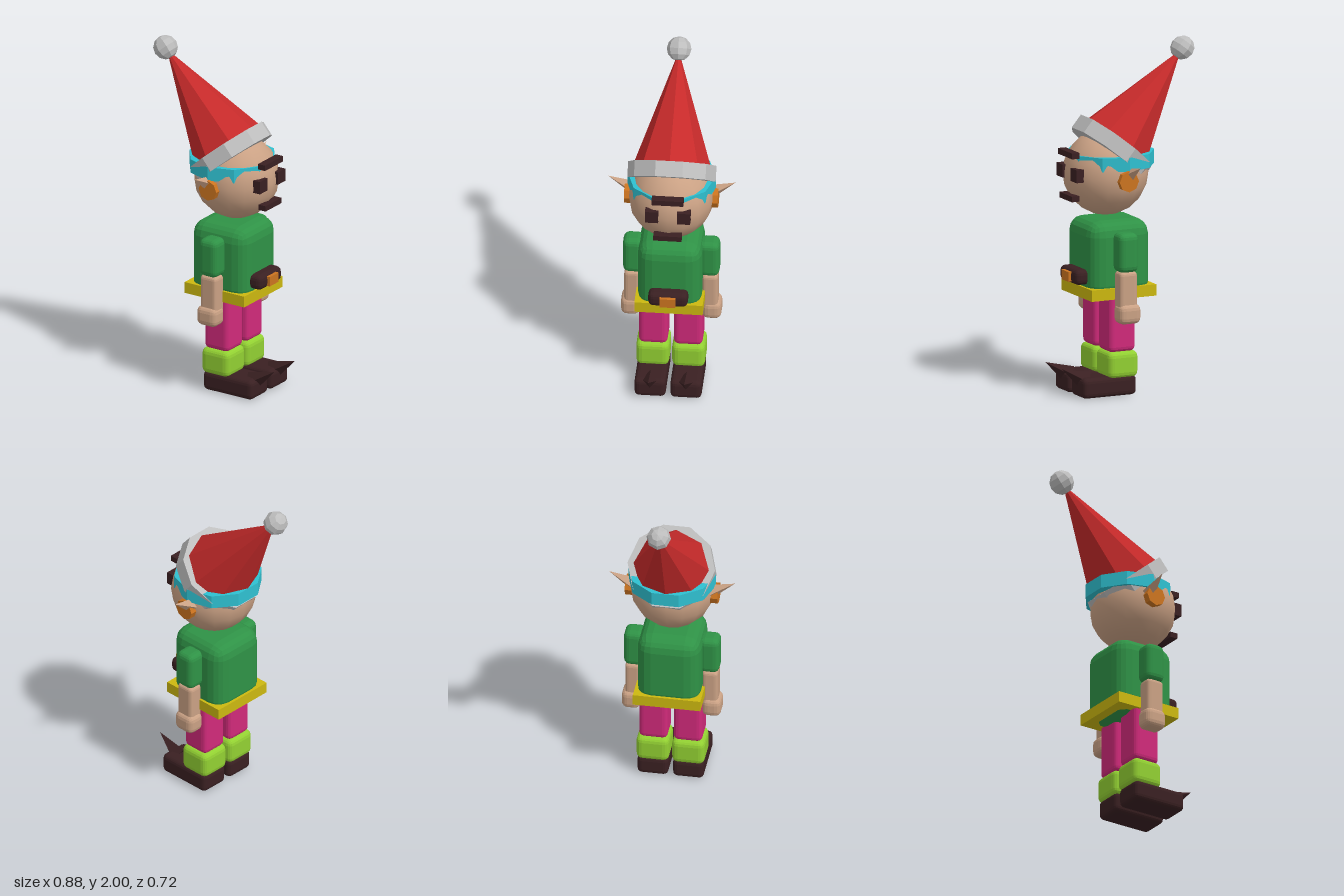
import * as THREE from 'three';
import { RoundedBoxGeometry } from 'three/addons/geometries/RoundedBoxGeometry.js';

const COLORS = {
  red: 0xc62a2a, white: 0xbdbdbd, skin: 0xcaa184, cyan: 0x2fc0d0, darkBrown: 0x3a2022,
  orange: 0xcc7420, green: 0x2f9246, yellow: 0xccb810, pink: 0xd02a7a, lime: 0x92d032,
};

export function createModel() {
  const root = new THREE.Group();
  root.name = 'elf';
  const mats = {};
  for (const [name, color] of Object.entries(COLORS)) {
    mats[name] = new THREE.MeshStandardMaterial({ color });
    mats[name].name = name;
  }

  const add = (name, geo, mat, parent = root) => {
    const mesh = new THREE.Mesh(geo, mats[mat]);
    mesh.name = name;
    parent.add(mesh);
    return mesh;
  };
  // faceted normals
  const flat = (geo) => {
    const g = geo.index ? geo.toNonIndexed() : geo;
    g.computeVertexNormals();
    return g;
  };
  // box from its limits [min, max] on each axis; r > 0 rounds the edges
  const box = (name, mat, x, y, z, r = 0) => {
    const s = [x, y, z].map(([a, b]) => b - a);
    const geo = r ? flat(new RoundedBoxGeometry(...s, 2, r)) : new THREE.BoxGeometry(...s);
    const m = add(name, geo, mat);
    m.position.set((x[0] + x[1]) / 2, (y[0] + y[1]) / 2, (z[0] + z[1]) / 2);
    return m;
  };
  // four-sided spike from a base centre to a tip
  const spike = (name, mat, radius, from, to) => {
    const a = new THREE.Vector3(...from), b = new THREE.Vector3(...to);
    const dir = b.clone().sub(a);
    const m = add(name, flat(new THREE.ConeGeometry(radius, dir.length(), 4)), mat);
    m.position.copy(a).add(b).multiplyScalar(0.5);
    m.quaternion.setFromUnitVectors(new THREE.Vector3(0, 1, 0), dir.normalize());
    return m;
  };

  // torso and belt
  box('torso', 'green', [-0.103, 0.277], [0.55, 1.0], [-0.18, 0.18], 0.085);
  box('belt', 'yellow', [-0.117, 0.288], [0.56, 0.625], [-0.193, 0.193]);
  box('beltPouch', 'darkBrown', [0.25, 0.345], [0.64, 0.727], [-0.112, 0.112], 0.03);
  box('buckle', 'orange', [0.33, 0.362], [0.655, 0.711], [-0.045, 0.045]);

  // head and face
  const head = add('head', new THREE.SphereGeometry(0.243, 16, 10), 'skin');
  head.position.set(0.107, 1.258, 0);
  const headband = add('headband', flat(new THREE.CylinderGeometry(0.25, 0.25, 0.08, 10)), 'cyan');
  headband.position.set(0.077, 1.34, 0);
  box('brow', 'darkBrown', [0.313, 0.36], [1.367, 1.4], [-0.09, 0.09]);
  box('mouth', 'darkBrown', [0.31, 0.357], [1.118, 1.15], [-0.08, 0.08]);

  // paired parts
  for (const s of [1, -1]) {
    const side = s > 0 ? 'A' : 'B';
    const z = (a, b) => (s > 0 ? [a, b] : [-b, -a]);
    box('eye' + side, 'darkBrown', [0.305, 0.351], [1.236, 1.31], z(0.053, 0.128));
    spike('ear' + side, 'skin', 0.05, [0.065, 1.26, s * 0.2], [0.065, 1.338, s * 0.36]);
    const stud = add('earring' + side, flat(new THREE.CylinderGeometry(0.06, 0.06, 0.05, 8)), 'orange');
    stud.rotation.x = Math.PI / 2;
    stud.position.set(0.087, 1.245, s * 0.24);

    box('sleeve' + side, 'green', [0.025, 0.147], [0.72, 0.945], z(0.155, 0.273), 0.035);
    box('forearm' + side, 'skin', [0.032, 0.142], [0.5, 0.725], z(0.175, 0.265), 0.022);
    box('hand' + side, 'skin', [0.015, 0.15], [0.425, 0.54], z(0.175, 0.284), 0.035);

    box('leg' + side, 'pink', [0.002, 0.168], [0.25, 0.59], z(0.017, 0.181), 0.03);
    box('sock' + side, 'lime', [-0.01, 0.178], [0.1, 0.255], z(0.008, 0.195), 0.035);
    box('shoe' + side, 'darkBrown', [0, 0.335], [0, 0.115], z(0.013, 0.19), 0.028);
    spike('shoeTip' + side, 'darkBrown', 0.055, [0.28, 0.085, s * 0.102], [0.433, 0.173, s * 0.102]);
  }

  // tilted hat, origin at the centre of the cone's base
  const hat = new THREE.Group();
  hat.name = 'hat';
  hat.position.set(0.04, 1.43, 0);
  hat.rotation.z = THREE.MathUtils.degToRad(40);
  root.add(hat);
  const cone = add('hatCone', flat(new THREE.ConeGeometry(0.215, 0.635, 8)), 'red', hat);
  cone.position.y = 0.3175;
  const brim = add('hatBrim', flat(new THREE.CylinderGeometry(0.25, 0.25, 0.09, 10)), 'white', hat);
  brim.position.y = -0.046;
  const pompom = add('pompom', flat(new THREE.SphereGeometry(0.07, 8, 6)), 'white', hat);
  pompom.position.y = 0.648;

  return root;
}
